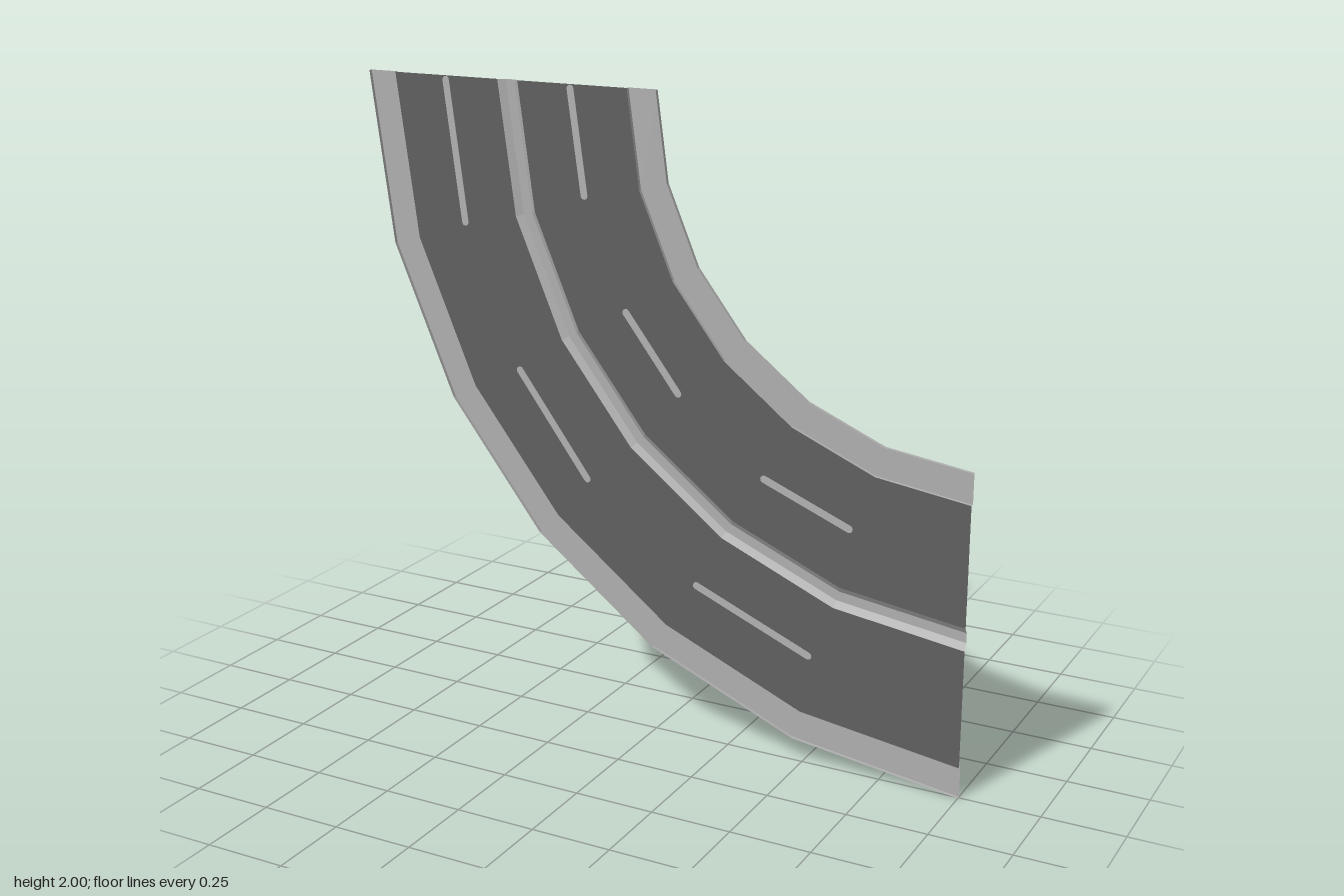
import * as THREE from 'three';

const BASE = 0.006, TOP = -0.006; // road plane and raised level (raised side faces -z)

export function createModel() {
  const model = new THREE.Group();
  model.name = 'curvedRoad';
  const mat = (name, color) => {
    const m = new THREE.MeshStandardMaterial({ color, side: THREE.DoubleSide, flatShading: true });
    m.name = name;
    return m;
  };
  const asphalt = mat('asphalt', 0x606060);
  const concrete = mat('concrete', 0xb0b0b0);
  const paint = mat('lanePaint', 0xb2b2b2);

  // Bend stations around the corner centre (1, 2)
  const angles = [0, 15.5, 30.4, 45, 59.6, 74.5, 90].map(THREE.MathUtils.degToRad);

  // Sweep an open profile of [radius, z] points round the bend
  function sweep(name, profile, material) {
    const pos = [];
    const point = (a, [r, z]) => [1 - r * Math.cos(a), 2 - r * Math.sin(a), z];
    for (let i = 0; i < angles.length - 1; i++) {
      for (let j = 0; j < profile.length - 1; j++) {
        const a = point(angles[i], profile[j]), b = point(angles[i + 1], profile[j]);
        const c = point(angles[i + 1], profile[j + 1]), d = point(angles[i], profile[j + 1]);
        pos.push(...a, ...b, ...c, ...a, ...c, ...d);
      }
    }
    const g = new THREE.BufferGeometry();
    g.setAttribute('position', new THREE.Float32BufferAttribute(pos, 3));
    g.computeVertexNormals();
    const mesh = new THREE.Mesh(g, material);
    mesh.name = name;
    model.add(mesh);
  }

  // Two carriageways
  sweep('innerCarriageway', [[1.095, BASE], [1.465, BASE]], asphalt);
  sweep('outerCarriageway', [[1.535, BASE], [1.903, BASE]], asphalt);

  // Raised kerbs and the median barrier, open underneath
  const kerb = (r0, r1) => [[r0, BASE], [r0, TOP], [r1, TOP], [r1, BASE]];
  sweep('innerKerb', kerb(1, 1.095), concrete);
  sweep('outerKerb', kerb(1.903, 2), concrete);
  sweep('medianBarrier', [[1.465, BASE], [1.483, TOP], [1.513, TOP], [1.535, BASE]], concrete);

  // Round-ended lane dashes, showing on both faces of the road
  const dashes = [
    [-0.72, 1.998, -0.66, 1.545], [-0.482, 1.118, -0.232, 0.782], [0.13, 0.512, 0.525, 0.348],
    [-0.285, 1.998, -0.238, 1.662], [-0.107, 1.343, 0.082, 1.097], [0.35, 0.888, 0.645, 0.77],
  ];
  const w = 0.0115;
  dashes.forEach(([x0, y0, x1, y1], i) => {
    const half = Math.hypot(x1 - x0, y1 - y0) / 2 - w;
    const s = new THREE.Shape();
    s.absarc(half, 0, w, -Math.PI / 2, Math.PI / 2);
    s.absarc(-half, 0, w, Math.PI / 2, Math.PI * 1.5);
    const g = new THREE.ExtrudeGeometry(s, { depth: 0.003, bevelEnabled: false, curveSegments: 4 });
    const mesh = new THREE.Mesh(g, paint);
    mesh.name = 'laneDash' + (i + 1);
    mesh.position.set((x0 + x1) / 2, (y0 + y1) / 2, BASE - 0.0015);
    mesh.rotation.z = Math.atan2(y1 - y0, x1 - x0);
    model.add(mesh);
  });

  return model;
}
